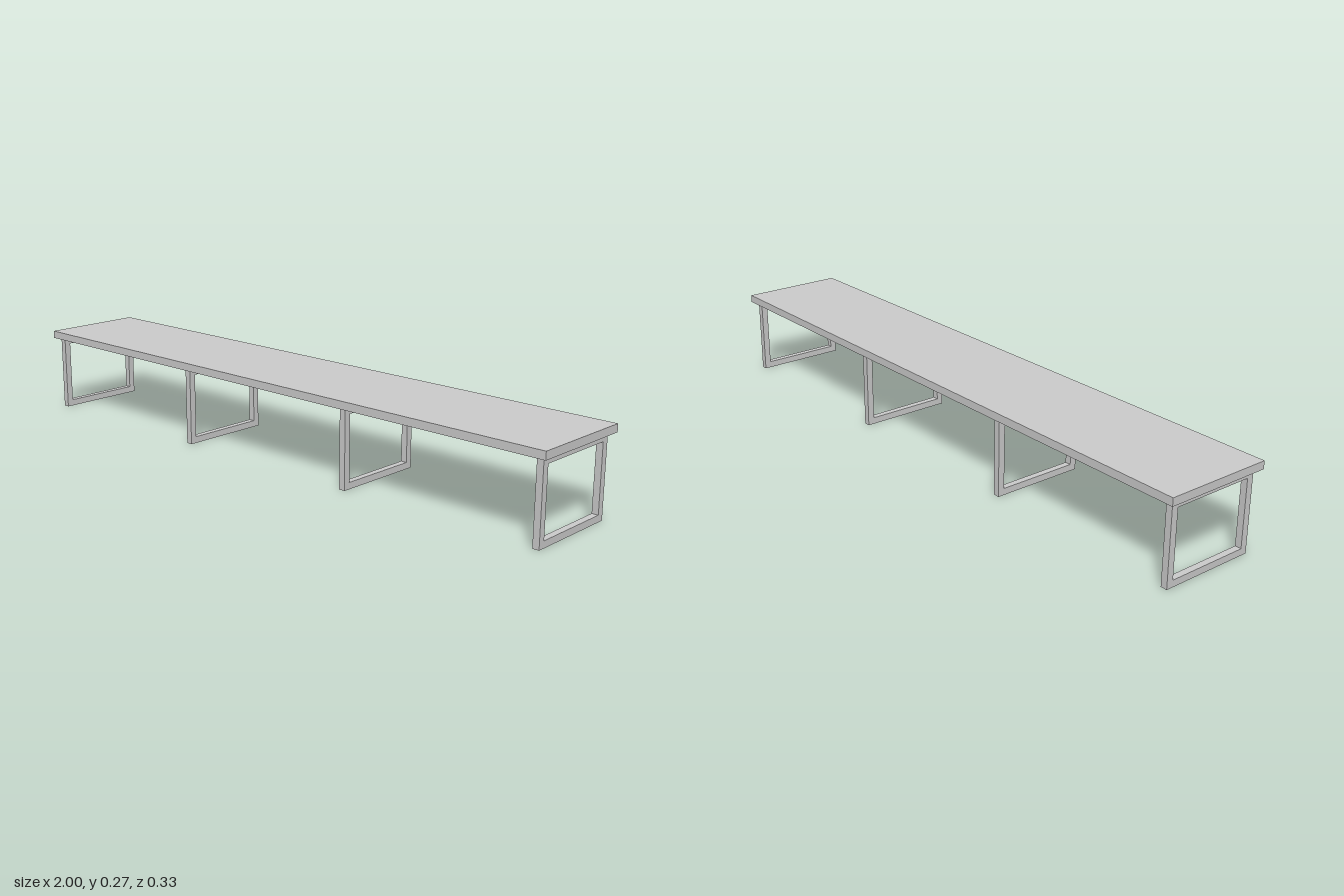
import * as THREE from 'three';

const TOP = { length: 2, thickness: 0.024, depth: 0.334 };
const FRAME = { height: 0.243, depth: 0.296, bar: 0.0205, width: 0.02 };

// Closed rectangular frame, drawn in the z-y plane and extruded along x
function frameGeometry() {
  const { height, depth, bar, width } = FRAME;
  const rectangle = (path, inset) => {
    const x = depth / 2 - inset;
    path.moveTo(-x, inset);
    path.lineTo(x, inset);
    path.lineTo(x, height - inset);
    path.lineTo(-x, height - inset);
    path.closePath();
    return path;
  };
  const shape = rectangle(new THREE.Shape(), 0);
  shape.holes.push(rectangle(new THREE.Path(), bar));
  return new THREE.ExtrudeGeometry(shape, { depth: width, bevelEnabled: false })
    .translate(0, 0, -width / 2)
    .rotateY(Math.PI / 2);
}

export function createModel() {
  const model = new THREE.Group();
  model.name = 'bench';
  const material = new THREE.MeshStandardMaterial({ color: 0xcccccc });

  // Long flat slab
  const top = new THREE.Mesh(
    new THREE.BoxGeometry(TOP.length, TOP.thickness, TOP.depth), material);
  top.name = 'benchTop';
  top.position.y = FRAME.height + TOP.thickness / 2;
  model.add(top);

  // Four evenly spaced leg frames
  const geometry = frameGeometry();
  for (let i = 0; i < 4; i++) {
    const leg = new THREE.Mesh(geometry, material);
    leg.name = `legFrame${i + 1}`;
    leg.position.x = -0.973 + (i * 2 * 0.973) / 3;
    model.add(leg);
  }
  return model;
}
